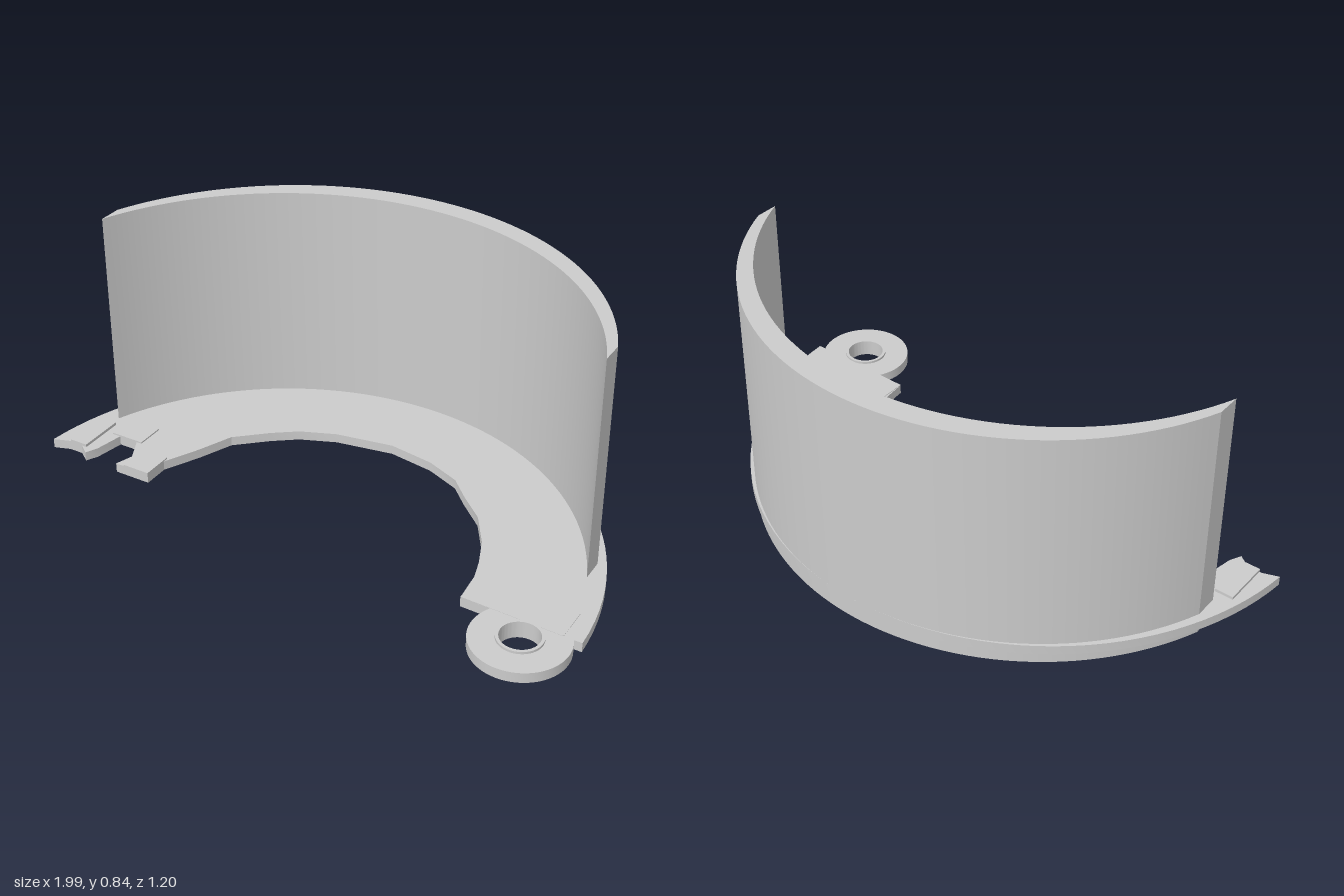
import * as THREE from 'three';
import { toCreasedNormals } from 'three/addons/utils/BufferGeometryUtils.js';

const material = new THREE.MeshStandardMaterial({ color: 0xcccccc, side: THREE.DoubleSide });

// Plan-view arc, angle measured from the back (-z) towards +x
function arc(cz, r, a0, a1, n) {
  return Array.from({ length: n + 1 }, (_, i) => {
    const a = a0 + (a1 - a0) * i / n;
    return new THREE.Vector2(r * Math.sin(a), cz - r * Math.cos(a));
  });
}

const points = list => list.map(([x, z]) => new THREE.Vector2(x, z));

// Raises a plan-view (x, z) shape from y0 to y1
function slab(name, shape, y0, y1) {
  const geo = new THREE.ExtrudeGeometry(shape, { depth: y1 - y0, bevelEnabled: false, curveSegments: 32 });
  geo.rotateX(Math.PI / 2).translate(0, y1, 0);
  const mesh = new THREE.Mesh(toCreasedNormals(geo, 0.4), material);
  mesh.name = name;
  return mesh;
}

function washer(cx, cz, outer, inner) {
  const shape = new THREE.Shape().absarc(cx, cz, outer, 0, Math.PI * 2);
  shape.holes.push(new THREE.Path().absarc(cx, cz, inner, 0, Math.PI * 2));
  return shape;
}

export function createModel() {
  const group = new THREE.Group();

  // Tall curved wall, trimmed flat at both ends
  const outerEnd = Math.asin(0.885 / 0.953), innerEnd = Math.asin(0.885 / 0.95);
  const wall = new THREE.Shape([
    ...arc(0.353, 0.953, -outerEnd, outerEnd, 56),
    ...arc(0.425, 0.95, innerEnd, -innerEnd, 56),
  ]);
  group.add(slab('curvedWall', wall, 0, 0.84));

  // Horseshoe base plate with a faceted inner edge and notched left end
  const plate = new THREE.Shape([
    ...arc(0.4, 1, -1.47, 1.54, 56),
    ...points([
      [0.9, 0.37], [0.6, 0.36], [0.59, 0.25], [0.57, 0.18], [0.53, 0.08], [0.46, -0.03],
      [0.37, -0.11], [0.3, -0.18], [0.18, -0.23], [0.02, -0.255], [-0.18, -0.22],
      [-0.3, -0.17], [-0.38, -0.11], [-0.48, -0.02], [-0.53, 0.1], [-0.59, 0.22],
      [-0.59, 0.31], [-0.72, 0.31], [-0.7, 0.25], [-0.74, 0.17], [-0.81, 0.17],
      [-0.83, 0.27], [-0.85, 0.31], [-0.89, 0.28], [-0.94, 0.28],
    ]),
  ]);
  group.add(slab('basePlate', plate, 0.042, 0.075));

  // Pad and pivot eye at the right-hand end
  const pad = new THREE.Shape(points([[0.6, 0.25], [0.94, 0.25], [0.94, 0.37], [0.6, 0.36]]));
  group.add(slab('pivotPad', pad, 0.041, 0.077));
  group.add(slab('pivotEye', washer(0.835, 0.44, 0.155, 0.066), 0.041, 0.076));
  group.add(slab('pivotBushing', washer(0.835, 0.44, 0.073, 0.063), 0.026, 0.084));

  // Catch blocks at the left-hand end: x, z, width, depth, top
  [
    ['outerCatch', -0.9, 0.2, 0.065, 0.165, 0.085],
    ['middleCatch', -0.78, 0.12, 0.12, 0.1, 0.08],
    ['innerCatch', -0.64, 0.255, 0.1, 0.11, 0.08],
  ].forEach(([name, x, z, w, d, top]) => {
    const block = new THREE.Mesh(new THREE.BoxGeometry(w, top - 0.048, d), material);
    block.name = name;
    block.position.set(x, (top + 0.048) / 2, z);
    group.add(block);
  });

  return group;
}
